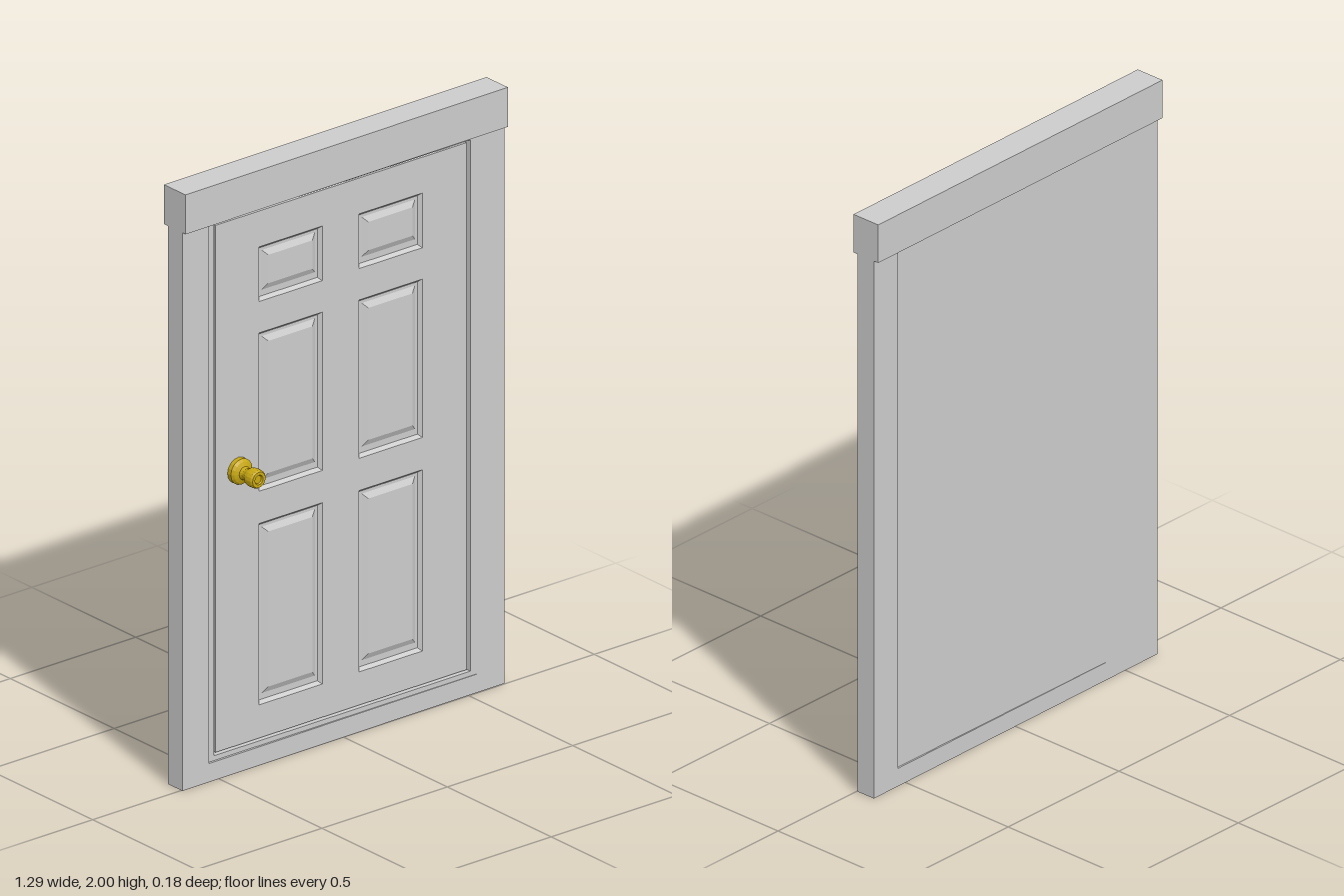
import * as THREE from 'three';

const grey = new THREE.MeshStandardMaterial({ color: 0xcccccc, flatShading: true });
const brass = new THREE.MeshStandardMaterial({ color: 0xc8a814, flatShading: true });

function addMesh(parent, name, geometry, material = grey) {
  const mesh = new THREE.Mesh(geometry, material);
  mesh.name = name;
  parent.add(mesh);
  return mesh;
}

// Box given by its limits on each axis
function addBox(parent, name, [x0, x1], [y0, y1], [z0, z1]) {
  const mesh = addMesh(parent, name, new THREE.BoxGeometry(x1 - x0, y1 - y0, z1 - z0));
  mesh.position.set((x0 + x1) / 2, (y0 + y1) / 2, (z0 + z1) / 2);
}

function rectangle(Type, x0, x1, y0, y1) {
  return new Type([[x0, y0], [x1, y0], [x1, y1], [x0, y1]].map(([x, y]) => new THREE.Vector2(x, y)));
}

// Plate with rectangular holes, extruded from back to front
function plate(outer, holes, back, front) {
  const shape = rectangle(THREE.Shape, ...outer);
  shape.holes = holes.map((h) => rectangle(THREE.Path, ...h));
  return new THREE.ExtrudeGeometry(shape, { depth: front - back, bevelEnabled: false }).translate(0, 0, back);
}

// Raised panel: nested rectangles stepping into a groove and up to the field
function raisedPanel([x0, x1, y0, y1], z) {
  const rings = [[0, 0, 0], [0.01, 0.01, -0.012], [0.02, 0.03, -0.012], [0.038, 0.05, -0.002]];
  const positions = [];
  const index = [];
  for (const [side, end, dz] of rings) {
    const l = x0 + side, r = x1 - side, b = y0 + end, t = y1 - side;
    positions.push(l, b, z + dz, r, b, z + dz, r, t, z + dz, l, t, z + dz);
  }
  for (let i = 0; i < rings.length - 1; i++) {
    for (let j = 0; j < 4; j++) {
      const a = i * 4 + j, b = i * 4 + (j + 1) % 4;
      index.push(a, b, b + 4, a, b + 4, a + 4);
    }
  }
  const last = (rings.length - 1) * 4;
  index.push(last, last + 1, last + 2, last, last + 2, last + 3);
  const geometry = new THREE.BufferGeometry();
  geometry.setAttribute('position', new THREE.Float32BufferAttribute(positions, 3));
  geometry.setIndex(index);
  geometry.computeVertexNormals();
  return geometry;
}

export function createModel() {
  const model = new THREE.Group();
  model.name = 'panelDoor';

  // Casing, set very slightly askew
  const frame = new THREE.Group();
  frame.name = 'frame';
  frame.rotation.y = 0.006;
  model.add(frame);
  const depth = [-0.067, 0.001];
  addBox(frame, 'rightPost', [-0.646, -0.54], [0, 1.87], depth);
  addBox(frame, 'leftPost', [0.535, 0.644], [0, 1.87], depth);
  addBox(frame, 'sill', [-0.54, 0.535], [0, 0.062], depth);
  addBox(frame, 'header', [-0.646, 0.646], [1.868, 2], [-0.087, 0.016]);

  // Stop between the casing and the door leaf
  addMesh(model, 'doorStop', plate([-0.54, 0.535, 0.062, 1.868], [[-0.512, 0.51, 0.078, 1.856]], -0.064, -0.004));

  // Door leaf with six raised panels
  const door = new THREE.Group();
  door.name = 'door';
  model.add(door);
  const doorFront = -0.01;
  const panels = [];
  for (const [x0, x1] of [[-0.328, -0.076], [0.071, 0.323]]) {
    for (const [y0, y1] of [[0.195, 0.802], [0.91, 1.44], [1.545, 1.728]]) panels.push([x0, x1, y0, y1]);
  }
  addBox(door, 'doorBack', [-0.512, 0.51], [0.07, 1.86], [-0.065, -0.03]);
  addMesh(door, 'doorLeaf', plate([-0.502, 0.5, 0.084, 1.848], panels, -0.03, doorFront));
  panels.forEach((p) => addMesh(door, 'raisedPanel', raisedPanel(p, doorFront)));

  // Knob with its round rose
  const profile = [
    [0, 0], [0.043, 0], [0.043, 0.016], [0.036, 0.025], [0.022, 0.031], [0.019, 0.042], [0.021, 0.05],
    [0.029, 0.063], [0.031, 0.076], [0.03, 0.094], [0.026, 0.1], [0.016, 0.1], [0.013, 0.095], [0, 0.095],
  ].map(([r, h]) => new THREE.Vector2(r, h));
  const knob = addMesh(door, 'knob', new THREE.LatheGeometry(profile, 16), brass);
  knob.rotation.x = Math.PI / 2;
  knob.position.set(-0.411, 1.004, doorFront);

  return model;
}
